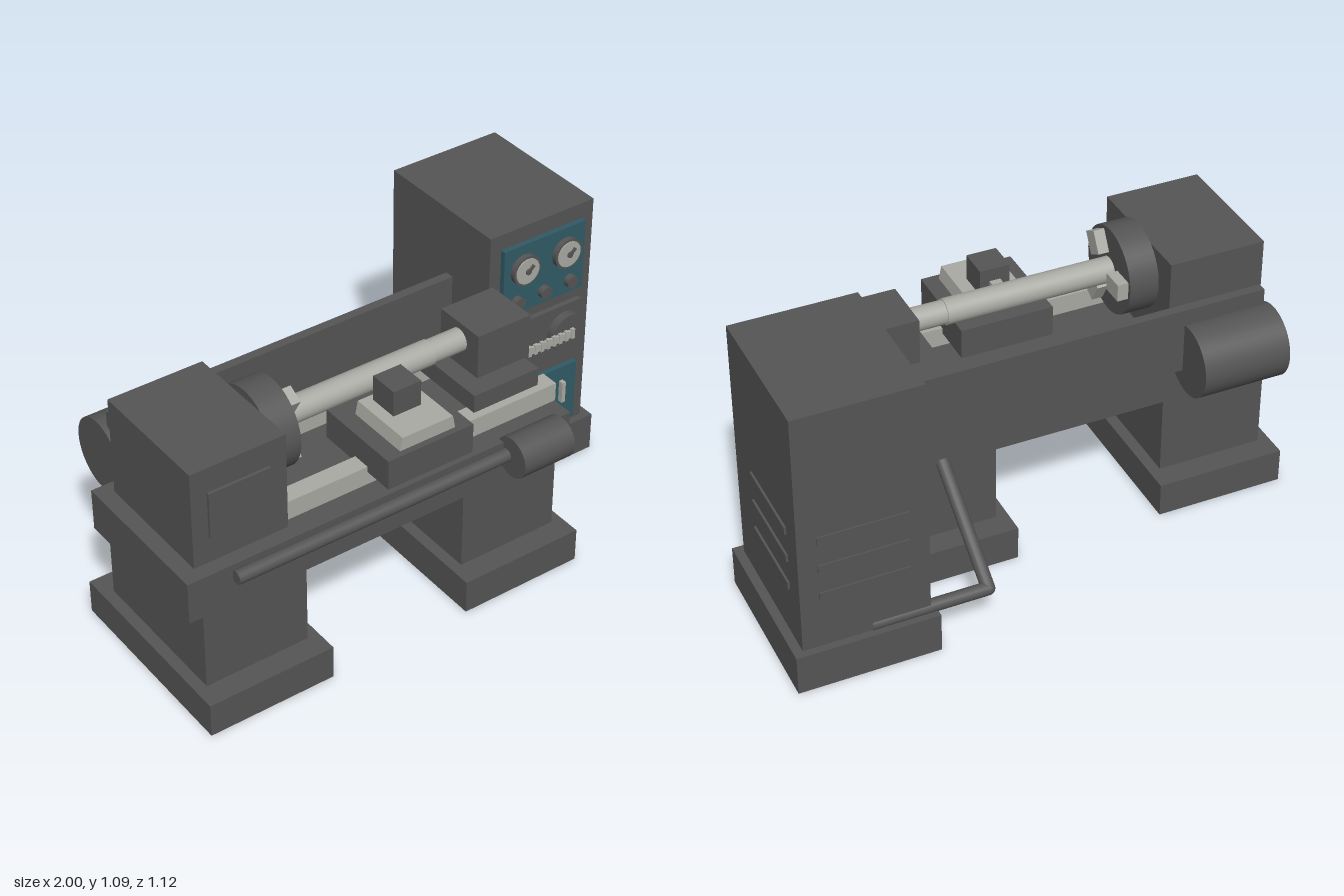
import * as THREE from 'three';

const mat = (name, color) => {
  const m = new THREE.MeshStandardMaterial({ color });
  m.name = name;
  return m;
};

export function createModel() {
  const root = new THREE.Group();
  root.name = 'lathe';
  const iron = mat('dark iron', 0x555555);
  const steel = mat('bright steel', 0xaaaaa4);
  const teal = mat('teal panel', 0x305a66);

  const add = (name, geo, material, x = 0, y = 0, z = 0) => {
    const m = new THREE.Mesh(geo, material);
    m.name = name;
    m.position.set(x, y, z);
    root.add(m);
    return m;
  };
  // Box given by its limits on each axis
  const box = (name, material, x0, x1, y0, y1, z0, z1) =>
    add(name, new THREE.BoxGeometry(x1 - x0, y1 - y0, z1 - z0), material,
      (x0 + x1) / 2, (y0 + y1) / 2, (z0 + z1) / 2);
  // Cylinder lying along x
  const rodX = (name, material, x0, x1, y, z, r) =>
    add(name, new THREE.CylinderGeometry(r, r, x1 - x0, 40).rotateZ(Math.PI / 2), material, (x0 + x1) / 2, y, z);
  // Disc facing the front
  const discZ = (name, material, x, y, z0, z1, r) =>
    add(name, new THREE.CylinderGeometry(r, r, z1 - z0, 36).rotateX(Math.PI / 2), material, x, y, (z0 + z1) / 2);

  // Pedestals and bed
  for (const x of [-0.747, 0.297]) {
    box('foot', iron, x - 0.243, x + 0.243, 0, 0.13, -0.235, 0.525);
    box('pedestal', iron, x - 0.2, x + 0.2, 0.13, 0.43, -0.145, 0.438);
  }
  box('bed', iron, -1, 0.552, 0.43, 0.59, -0.148, 0.44);
  for (const z of [-0.032, 0.32]) box('bedRail', steel, -0.58, 0.555, 0.59, 0.662, z - 0.035, z + 0.035);
  box('splashGuard', iron, -0.895, 0.5, 0.59, 0.84, -0.2, -0.165);

  // Headstock, motor and chuck
  box('headstock', iron, -0.94, -0.58, 0.59, 0.965, -0.1, 0.385);
  box('headstockCover', iron, -0.88, -0.645, 0.69, 0.87, 0.385, 0.396);
  rodX('motor', iron, -0.915, -0.587, 0.65, -0.232, 0.133);
  rodX('chuck', iron, -0.58, -0.47, 0.832, 0.145, 0.163);
  for (const deg of [30, 150, 270]) {
    const a = THREE.MathUtils.degToRad(deg);
    const jaw = add('chuckJaw', new THREE.BoxGeometry(0.042, 0.085, 0.065), steel,
      -0.45, 0.832 + 0.105 * Math.cos(a), 0.145 + 0.105 * Math.sin(a));
    jaw.rotation.x = a;
  }
  rodX('workpiece', steel, -0.47, 0.16, 0.835, 0.145, 0.047);
  rodX('tailstockQuill', steel, 0.16, 0.3, 0.835, 0.145, 0.043);

  // Tailstock
  box('tailstockBase', iron, 0.222, 0.498, 0.66, 0.732, -0.035, 0.325);
  box('tailstockBody', iron, 0.292, 0.515, 0.706, 0.903, 0.042, 0.25);

  // Carriage with tapered slide, tool post and cutting tool
  box('carriage', iron, -0.242, 0.105, 0.64, 0.755, 0.12, 0.47);
  const slideGeo = new THREE.BoxGeometry(0.225, 0.05, 0.25);
  const p = slideGeo.attributes.position;
  for (let i = 0; i < p.count; i++) if (p.getY(i) > 0) p.setX(i, p.getX(i) * 0.91);
  slideGeo.computeVertexNormals();
  add('crossSlide', slideGeo, steel, -0.066, 0.78, 0.322);
  box('toolPost', iron, -0.124, -0.012, 0.805, 0.903, 0.222, 0.336);
  box('cuttingTool', steel, -0.088, -0.047, 0.825, 0.855, 0.16, 0.23);

  // Feed shaft and its gearbox
  rodX('feedShaft', iron, -0.83, 0.27, 0.549, 0.458, 0.025);
  rodX('feedGearbox', iron, 0.262, 0.477, 0.552, 0.483, 0.077);

  // Control cabinet
  box('cabinetBase', iron, 0.487, 1, 0, 0.152, -0.56, 0.055);
  box('cabinet', iron, 0.512, 0.967, 0.152, 1.09, -0.532, 0.026);
  for (const y of [0.365, 0.48, 0.595]) {
    box('sideVent', iron, 0.967, 0.975, y - 0.014, y + 0.014, -0.445, -0.13);
    box('rearVent', iron, 0.58, 0.9, y - 0.014, y + 0.014, -0.538, -0.532);
  }

  // Gauge panel
  box('gaugePanel', teal, 0.56, 0.92, 0.752, 1.028, 0.026, 0.046);
  for (const x of [0.648, 0.833]) {
    discZ('gaugeRim', iron, x, 0.931, 0.046, 0.066, 0.059);
    discZ('gaugeFace', steel, x, 0.931, 0.066, 0.07, 0.05);
    discZ('needleHub', iron, x, 0.931, 0.07, 0.077, 0.011);
    const needle = add('gaugeNeedle', new THREE.BoxGeometry(0.04, 0.011, 0.007), iron, x + 0.008, 0.938, 0.0735);
    needle.rotation.z = 0.75;
  }
  for (const x of [0.62, 0.74, 0.858]) discZ('knob', iron, x, 0.804, 0.046, 0.07, 0.024);

  // Handwheel panel with linking bar
  box('wheelPanel', iron, 0.56, 0.92, 0.49, 0.7, 0.026, 0.046);
  for (const x of [0.635, 0.845]) discZ('handwheel', iron, x, 0.596, 0.046, 0.078, 0.075);
  box('linkBar', steel, 0.622, 0.862, 0.582, 0.61, 0.078, 0.09);
  for (let i = 0; i < 9; i++) {
    const x = 0.63 + i * 0.028;
    box('linkTooth', steel, x - 0.007, x + 0.007, 0.576, 0.616, 0.079, 0.092);
  }

  // Lower door
  box('lowerDoor', teal, 0.565, 0.916, 0.178, 0.427, 0.026, 0.046);
  box('doorHandle', steel, 0.839, 0.855, 0.28, 0.368, 0.046, 0.066);

  // Conduit from the cabinet back to the bed
  const corner = new THREE.Vector3(0.296, 0.165, -0.515);
  const pipe = (a, b) => add('conduit', new THREE.TubeGeometry(new THREE.LineCurve3(a, b), 1, 0.024, 16), iron);
  pipe(new THREE.Vector3(0.72, 0.165, -0.515), corner);
  pipe(corner, new THREE.Vector3(0.296, 0.44, -0.14));
  add('conduitElbow', new THREE.SphereGeometry(0.024, 16, 12), iron, corner.x, corner.y, corner.z);

  return root;
}
